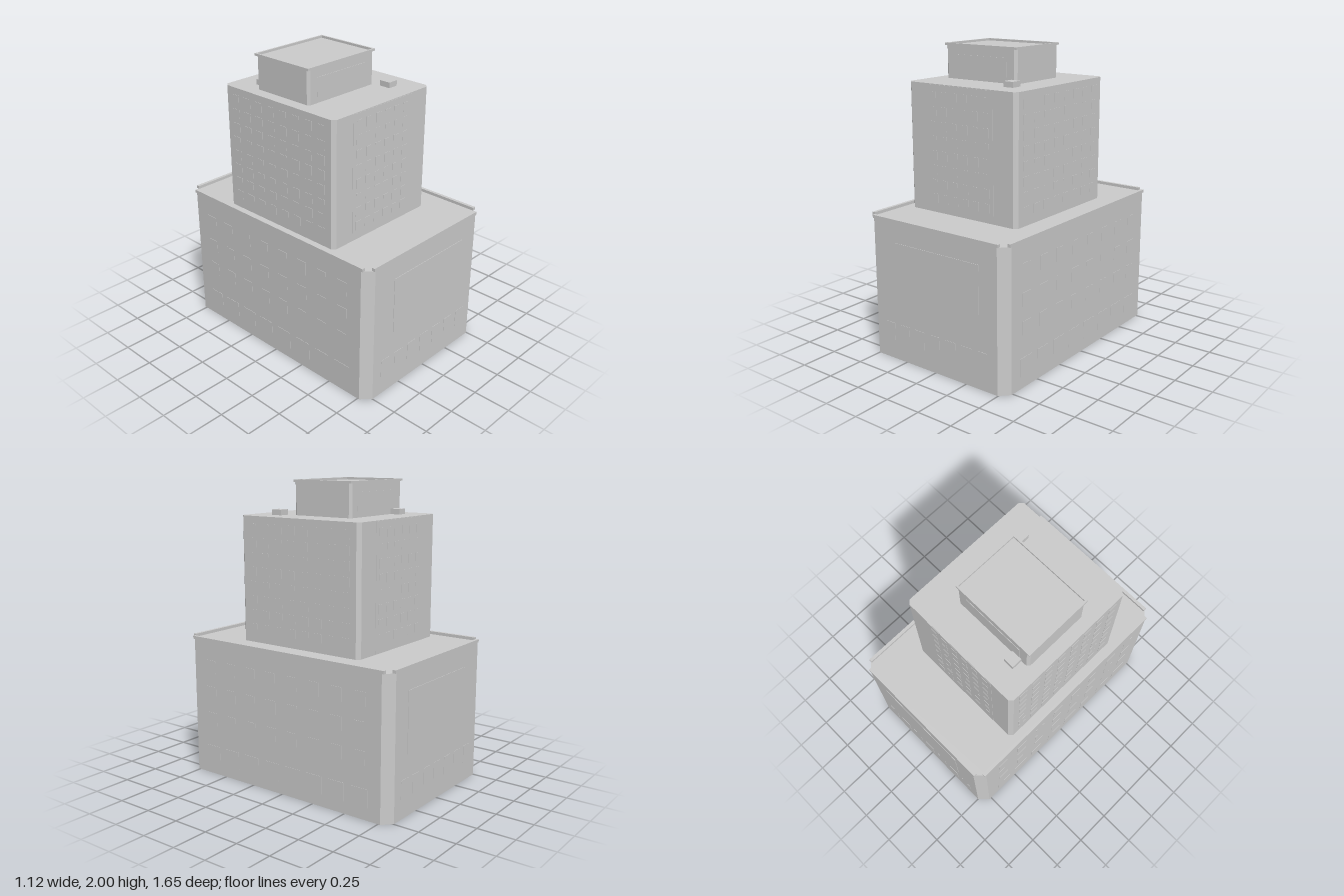
import * as THREE from 'three';

const stone = new THREE.MeshStandardMaterial({ color: 0xcccccc });
stone.name = 'pale grey stone';

export function createModel() {
  const model = new THREE.Group();
  model.name = 'steppedTower';

  function box(name, x0, x1, y0, y1, z0, z1, parent = model) {
    const mesh = new THREE.Mesh(new THREE.BoxGeometry(x1 - x0, y1 - y0, z1 - z0), stone);
    mesh.position.set((x0 + x1) / 2, (y0 + y1) / 2, (z0 + z1) / 2);
    mesh.name = name;
    parent.add(mesh);
  }

  // Upright block with its four vertical corners cut by c
  function tier(name, x0, x1, z0, z1, y0, y1, c) {
    const outline = [
      [x0 + c, z0], [x1 - c, z0], [x1, z0 + c], [x1, z1 - c],
      [x1 - c, z1], [x0 + c, z1], [x0, z1 - c], [x0, z0 + c],
    ].map(([x, z]) => new THREE.Vector2(x, -z));
    const geometry = new THREE.ExtrudeGeometry(new THREE.Shape(outline), { depth: y1 - y0, bevelEnabled: false });
    geometry.rotateX(-Math.PI / 2);
    const mesh = new THREE.Mesh(geometry, stone);
    mesh.position.y = y0;
    mesh.name = name;
    model.add(mesh);
  }

  // Thin plate on a wall: axis is the wall normal, u runs along the wall
  function plate(parent, axis, wall, sign, u0, u1, y0, y1, t = 0.002) {
    const a = Math.min(wall, wall + sign * t);
    if (axis === 'z') box('plate', u0, u1, y0, y1, a, a + t, parent);
    else box('plate', a, a + t, y0, y1, u0, u1, parent);
  }

  // Regular grid of shallow window plates
  function windows(name, axis, wall, sign, u0, u1, cols, y0, y1, rows, w, h) {
    const group = new THREE.Group();
    group.name = name;
    for (let i = 0; i < cols; i++) {
      for (let j = 0; j < rows; j++) {
        const u = u0 + (u1 - u0) * (i + 0.5) / cols;
        const y = y0 + (y1 - y0) * (j + 0.5) / rows;
        plate(group, axis, wall, sign, u - w / 2, u + w / 2, y - h / 2, y + h / 2);
      }
    }
    model.add(group);
  }

  // Main blocks
  tier('base', -0.56, 0.556, -0.826, 0.822, 0, 0.932, 0.06);
  tier('middleTower', -0.493, 0.377, -0.477, 0.479, 0.932, 1.77, 0.024);
  tier('penthouse', -0.413, 0.164, -0.258, 0.198, 1.77, 1.985, 0.016);

  // Base parapets, left open at the cut corners
  box('frontParapet', -0.51, 0.505, 0.932, 0.952, 0.802, 0.824);
  box('backParapet', -0.51, 0.505, 0.932, 0.952, -0.828, -0.806);
  box('rightParapet', -0.562, -0.54, 0.932, 0.952, -0.78, 0.775);
  box('leftParapet', 0.536, 0.558, 0.932, 0.952, -0.78, 0.775);

  // Penthouse roof rim
  box('frontRim', -0.42, 0.168, 1.985, 2, 0.19, 0.202);
  box('backRim', -0.42, 0.168, 1.985, 2, -0.262, -0.25);
  box('rightRim', -0.42, -0.408, 1.985, 2, -0.25, 0.19);
  box('leftRim', 0.156, 0.168, 1.985, 2, -0.25, 0.19);

  // Roof vents
  box('frontVent', 0.166, 0.238, 1.77, 1.806, 0.252, 0.33);
  box('backVent', -0.357, -0.285, 1.77, 1.806, -0.328, -0.258);

  // Shallow panels in the end walls
  const panels = new THREE.Group();
  panels.name = 'wallPanels';
  model.add(panels);
  for (const [base, mid, pent, s] of [[0.822, 0.479, 0.198, 1], [-0.826, -0.477, -0.258, -1]]) {
    plate(panels, 'z', base, s, -0.32, 0.36, 0.4, 0.8, 0.003);
    plate(panels, 'z', mid, s, -0.33, 0.2, 0.94, 1.765, 0.002);
    plate(panels, 'z', pent, s, -0.34, 0.09, 1.81, 1.93, 0.003);
    windows('towerEndWindows', 'z', mid + s * 0.002, s, -0.32, 0.19, 6, 0.98, 1.74, 8, 0.045, 0.06);
    windows('baseEndWindows', 'z', base, s, -0.45, 0.45, 7, 0.08, 0.3, 1, 0.08, 0.12);
  }

  // Long wall windows
  for (const [base, mid, s] of [[0.556, 0.377, 1], [-0.56, -0.493, -1]]) {
    windows('towerSideWindows', 'x', mid, s, -0.43, 0.43, 8, 0.98, 1.74, 8, 0.06, 0.06);
    windows('baseSideWindows', 'x', base, s, -0.7, 0.7, 8, 0.3, 0.85, 3, 0.08, 0.09);
    windows('groundWindows', 'x', base, s, -0.7, 0.7, 8, 0.06, 0.22, 1, 0.12, 0.12);
  }
  return model;
}
